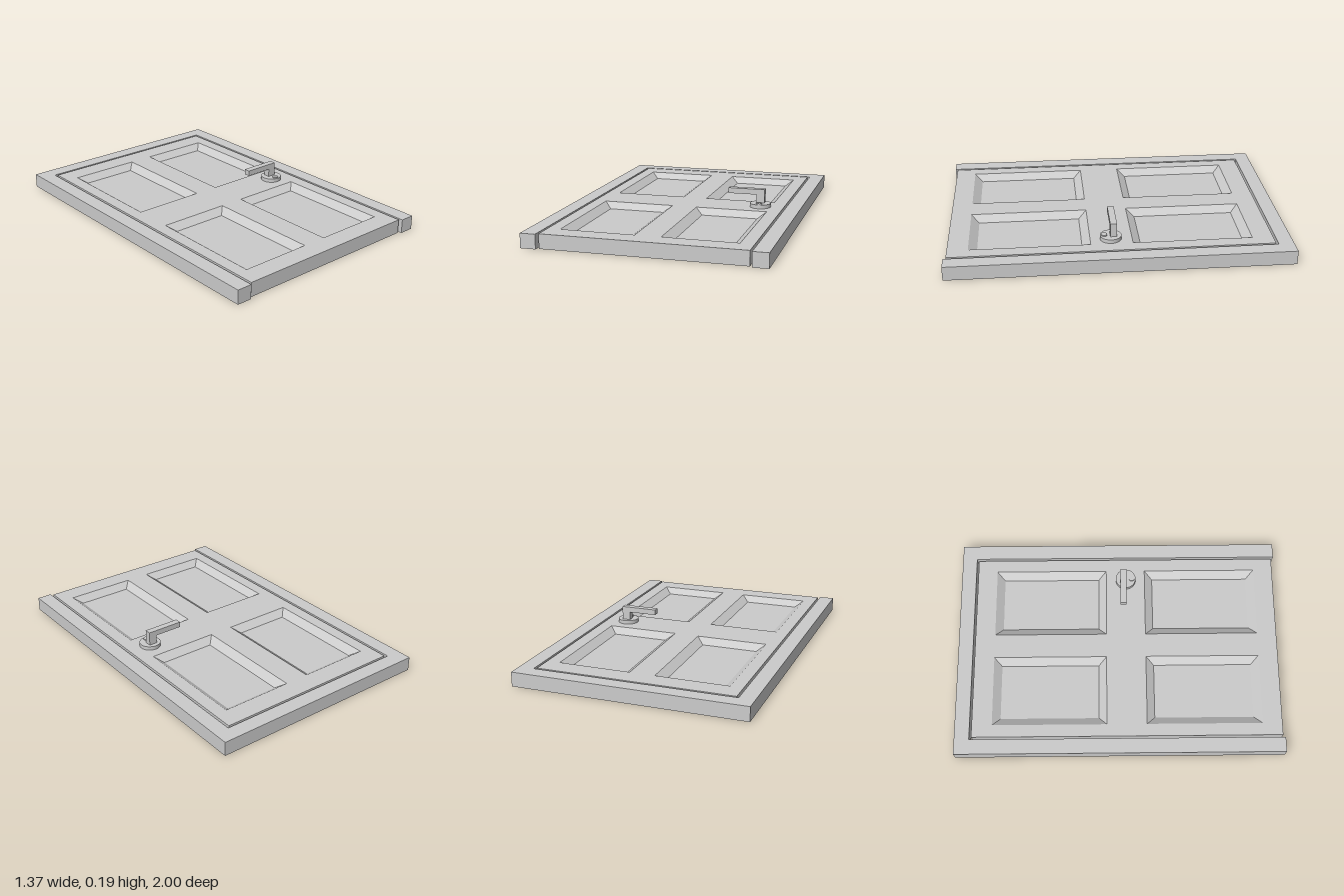
import * as THREE from 'three';

const TOP = 0.085;      // slab thickness
const RECESS = 0.035;   // depth of the sunken panels
const BEVEL = 0.048;    // width of the sloped moulding

const material = new THREE.MeshStandardMaterial({ color: 0xcccccc, flatShading: true });
const smooth = new THREE.MeshStandardMaterial({ color: 0xcccccc });

function mesh(name, geometry, mat = material) {
  const m = new THREE.Mesh(geometry, mat);
  m.name = name;
  return m;
}

const points = (list) => list.map(([x, z]) => new THREE.Vector2(x, -z));
const rect = (x0, x1, z0, z1) => [[x0, z0], [x1, z0], [x1, z1], [x0, z1]];

// Plan outline (x, z) raised from y0 to y1
function slab(outline, holes, y0, y1) {
  const shape = new THREE.Shape(points(outline));
  holes.forEach((h) => shape.holes.push(new THREE.Path(points(h))));
  return new THREE.ExtrudeGeometry(shape, { depth: y1 - y0, bevelEnabled: false })
    .rotateX(-Math.PI / 2).translate(0, y0, 0);
}

// Four mitred slopes running from the door face down to the panel floor
function moulding([x0, x1, z0, z1]) {
  const outer = rect(x0, x1, z0, z1).map(([x, z]) => [x, TOP, z]);
  const inner = rect(x0 + BEVEL, x1 - BEVEL, z0 + BEVEL, z1 - BEVEL)
    .map(([x, z]) => [x, TOP - RECESS, z]);
  const pos = [];
  for (let i = 0; i < 4; i++) {
    const j = (i + 1) % 4;
    pos.push(...outer[i], ...inner[i], ...outer[j], ...outer[j], ...inner[i], ...inner[j]);
  }
  const g = new THREE.BufferGeometry();
  g.setAttribute('position', new THREE.Float32BufferAttribute(pos, 3));
  g.computeVertexNormals();
  return g;
}

function disc(name, radius, y0, y1, x, z) {
  return mesh(name, new THREE.CylinderGeometry(radius, radius, y1 - y0, 32)
    .translate(x, (y0 + y1) / 2, z), smooth);
}

export function createModel() {
  const model = new THREE.Group();
  model.name = 'door';

  // Three-sided frame, open at the sill
  const frame = [[-0.687, 1], [-0.687, -1], [0.687, -1], [0.687, 1],
    [0.597, 1], [0.597, -0.91], [-0.597, -0.91], [-0.597, 1]];
  model.add(mesh('frame', slab(frame, [], 0, TOP)));

  // Door leaf: solid back, pierced face and a moulding in each opening
  const leaf = new THREE.Group();
  leaf.name = 'leaf';
  const edge = rect(-0.583, 0.583, -0.897, 0.985);
  const panels = [];
  for (const [x0, x1] of [[-0.509, -0.076], [0.073, 0.505]])
    for (const [z0, z1] of [[-0.775, -0.078], [0.166, 0.865]]) panels.push([x0, x1, z0, z1]);
  leaf.add(mesh('leafBack', slab(edge, [], 0, TOP - RECESS)));
  leaf.add(mesh('leafFace', slab(edge, panels.map((p) => rect(...p)), TOP - RECESS, TOP)));
  panels.forEach((p) => leaf.add(mesh('panelMoulding', moulding(p))));
  model.add(leaf);

  // Handle: round rose, lock cylinder and an angled lever
  const handle = new THREE.Group();
  handle.name = 'handle';
  handle.add(disc('rose', 0.063, TOP, 0.108, 0.442, 0.046));
  handle.add(disc('lockCylinder', 0.018, 0.108, 0.115, 0.442, 0.084));
  const lever = new THREE.Shape([[0.417, 0.106], [0.467, 0.106], [0.467, 0.191],
    [0.244, 0.191], [0.244, 0.158], [0.417, 0.158]].map(([x, y]) => new THREE.Vector2(x, y)));
  handle.add(mesh('lever', new THREE.ExtrudeGeometry(lever, { depth: 0.039, bevelEnabled: false })
    .translate(0, 0, 0.011)));
  model.add(handle);

  return model;
}
